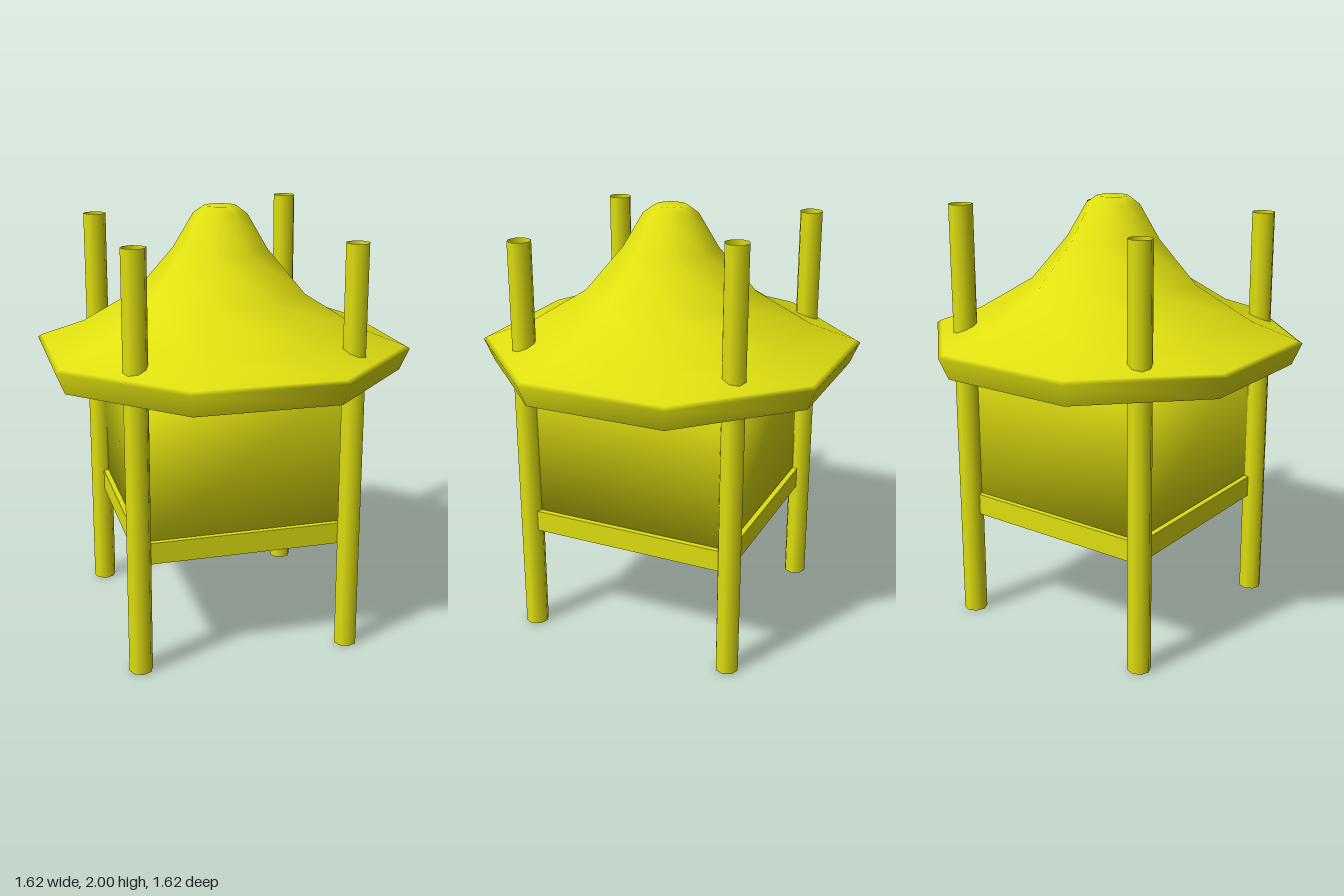
import * as THREE from 'three';
import { mergeVertices } from 'three/addons/utils/BufferGeometryUtils.js';

export function createModel() {
  const model = new THREE.Group();
  model.name = 'hut';
  // Open pipes need both sides drawn
  const yellow = new THREE.MeshStandardMaterial({ color: 0xe0e010, side: THREE.DoubleSide });
  yellow.name = 'yellow';

  const add = (name, geometry, x = 0, y = 0, z = 0) => {
    const mesh = new THREE.Mesh(geometry, yellow);
    mesh.name = name;
    mesh.position.set(x, y, z);
    model.add(mesh);
    return mesh;
  };

  // Floor slab, hard edged
  add('floor', new THREE.BoxGeometry(1.0, 0.1, 1.0), 0, 0.56, 0);

  // Walls: a box whose corners share smooth normals
  let walls = new THREE.BoxGeometry(0.95, 0.7, 0.95);
  walls.deleteAttribute('normal');
  walls.deleteAttribute('uv');
  walls = mergeVertices(walls);
  walls.computeVertexNormals();
  add('walls', walls, 0, 0.95, 0);

  // Eight-sided bell roof; the profile is measured to the middle of each side
  const toCorner = 1 / Math.cos(Math.PI / 8);
  const lathe = (points) => new THREE.LatheGeometry(
    points.map(([r, y]) => new THREE.Vector2(r * toCorner, y)), 8, Math.PI / 8);
  add('roof', lathe([
    [0.77, 1.265], [0.81, 1.365], [0.79, 1.378], [0.6, 1.452], [0.36, 1.607],
    [0.2, 1.81], [0.115, 1.965], [0.07, 2.0], [0, 2.0],
  ]));
  add('roofUnderside', lathe([[0, 1.265], [0.77, 1.265]]));

  // Four hollow posts of uneven height, leaning very slightly
  const posts = [
    ['frontLeftPost', 0.477, 0.505, 1.89],
    ['frontRightPost', -0.505, 0.505, 1.91],
    ['backLeftPost', 0.477, -0.497, 1.98],
    ['backRightPost', -0.505, -0.497, 1.92],
  ];
  for (const [name, x, z, height] of posts) {
    const pipe = new THREE.CylinderGeometry(0.054, 0.054, height, 8, 1, true);
    pipe.translate(0, height / 2, 0);
    const p = pipe.attributes.position;
    const lean = x > 0 ? -0.01 : 0.01;
    for (let i = 0; i < p.count; i++) p.setX(i, p.getX(i) + lean * p.getY(i) / height);
    add(name, pipe, x, 0, z);
  }
  return model;
}
